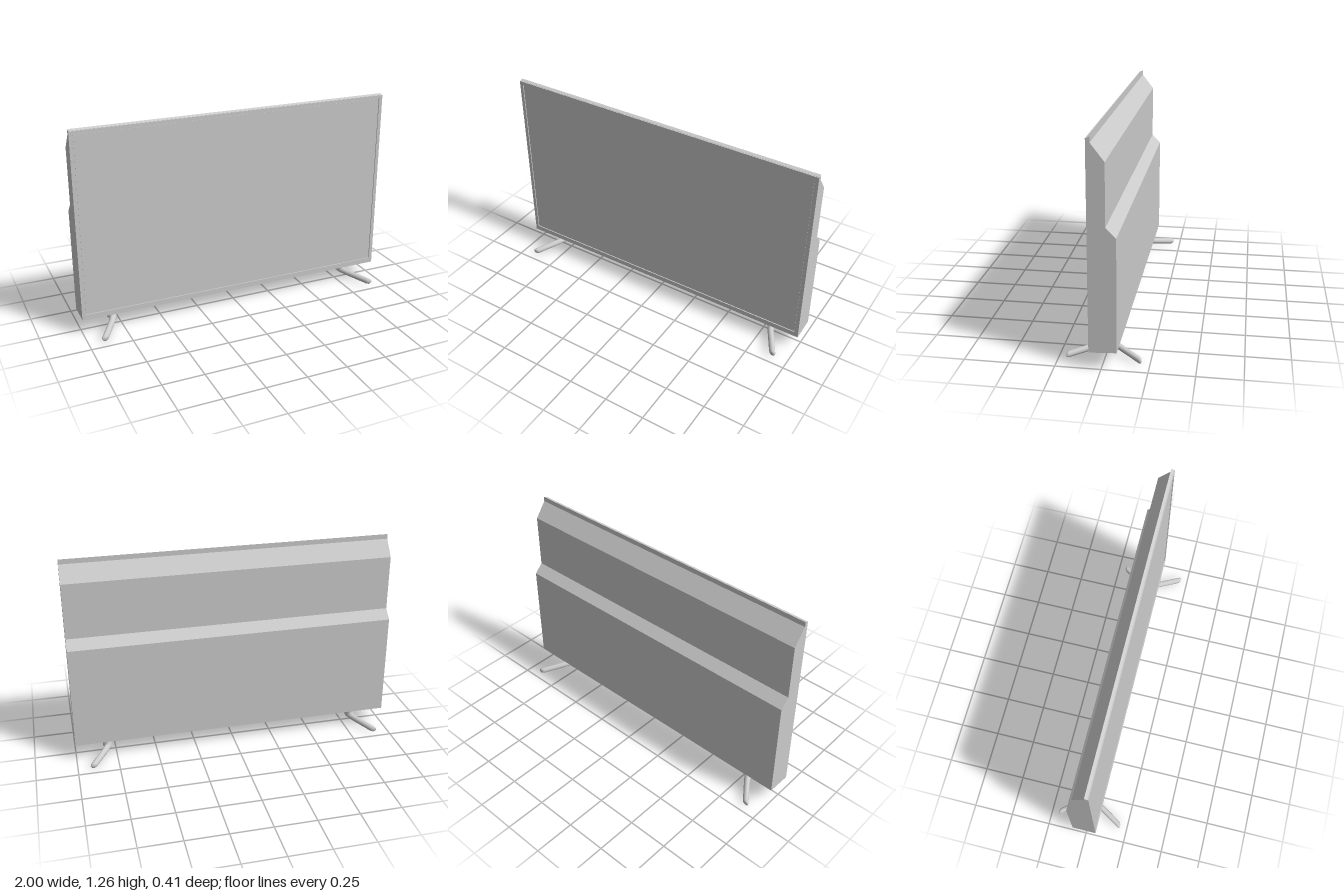
import * as THREE from 'three';
import { toCreasedNormals } from 'three/addons/utils/BufferGeometryUtils.js';

const material = new THREE.MeshStandardMaterial({ color: 0xcccccc });

function addMesh(parent, name, geometry) {
  const mesh = new THREE.Mesh(geometry, material);
  mesh.name = name;
  parent.add(mesh);
  return mesh;
}

// Elliptical sections in the xy plane, swept along z: [x, y, z, scale]
function loftAlongZ(sections, rx, ry, sides = 20) {
  const pos = [], index = [];
  const push = (x, y, z) => pos.push(x, y, z) / 3 - 1;
  for (const [x, y, z, s] of sections) {
    for (let i = 0; i < sides; i++) {
      const a = (i / sides) * Math.PI * 2;
      push(x + Math.cos(a) * rx * s, y + Math.sin(a) * ry * s, z);
    }
  }
  const last = sections.length - 1;
  for (let r = 0; r < last; r++) {
    for (let i = 0; i < sides; i++) {
      const j = (i + 1) % sides;
      const a = r * sides + i, b = r * sides + j, c = a + sides, d = b + sides;
      index.push(a, b, c, b, d, c);
    }
  }
  // end caps
  const start = push(...sections[0].slice(0, 3));
  const end = push(...sections[last].slice(0, 3));
  for (let i = 0; i < sides; i++) {
    const j = (i + 1) % sides;
    index.push(start, j, i, end, last * sides + i, last * sides + j);
  }
  const g = new THREE.BufferGeometry();
  g.setAttribute('position', new THREE.Float32BufferAttribute(pos, 3));
  g.setIndex(index);
  g.computeVertexNormals();
  return g;
}

function rectangle(Type, x0, y0, x1, y1) {
  return new Type([[x0, y0], [x1, y0], [x1, y1], [x0, y1]].map(p => new THREE.Vector2(...p)));
}

// V-shaped foot with a short neck, built on the +x side
function createStand() {
  const stand = new THREE.Group();
  const legs = [
    [0.909, 0.022, -0.203, 0.55], [0.906, 0.022, -0.199, 0.85], [0.900, 0.023, -0.19, 1],
    [0.822, 0.046, -0.08, 1], [0.804, 0.053, -0.05, 1.04], [0.798, 0.056, -0.03, 1.12],
    [0.798, 0.056, -0.005, 1.12], [0.803, 0.054, 0.02, 1.04], [0.823, 0.048, 0.06, 1],
    [0.899, 0.029, 0.19, 1], [0.904, 0.028, 0.199, 0.85], [0.907, 0.028, 0.203, 0.55],
  ];
  addMesh(stand, 'legs', loftAlongZ(legs, 0.021, 0.0185));

  // neck flares where it meets the legs
  const profile = [[0, 0.05], [1.25, 0.05], [1.2, 0.066], [1.02, 0.076], [0.96, 0.09], [0.96, 0.115], [0, 0.115]]
    .map(p => new THREE.Vector2(...p));
  const neck = new THREE.LatheGeometry(profile, 24);
  neck.scale(0.023, 1, 0.036);
  neck.translate(0.802, 0, -0.015);
  addMesh(stand, 'neck', toCreasedNormals(neck, 0.8));
  return stand;
}

export function createModel() {
  const model = new THREE.Group();
  model.name = 'television';
  const screenZ = 0.06, frontZ = 0.066;

  // cabinet: stepped side profile (z, y) extruded across the width
  const outline = [
    [screenZ, 0.1], [screenZ, 1.258], [0.043, 1.265], [0.043, 1.235], [-0.03, 1.14],
    [-0.03, 0.8], [-0.085, 0.745], [-0.085, 0.107],
  ].map(([z, y]) => new THREE.Vector2(-z, y));
  const cabinet = new THREE.ExtrudeGeometry(new THREE.Shape(outline), { depth: 2, bevelEnabled: false });
  cabinet.translate(0, 0, -1);
  cabinet.rotateY(Math.PI / 2);
  addMesh(model, 'cabinet', cabinet);

  // raised bezel around the recessed screen
  const frame = rectangle(THREE.Shape, -1, 0.1, 1, 1.257);
  frame.holes.push(rectangle(THREE.Path, -0.978, 0.132, 0.978, 1.237));
  const bezel = new THREE.ExtrudeGeometry(frame, { depth: frontZ - screenZ, bevelEnabled: false });
  bezel.translate(0, 0, screenZ);
  addMesh(model, 'bezel', bezel);

  // thin screen panel inside the bezel
  const screen = new THREE.BoxGeometry(1.95, 1.1, 0.004);
  screen.translate(0, 0.6845, screenZ);
  addMesh(model, 'screen', screen);

  // stands mirrored to both sides
  for (const side of [1, -1]) {
    const stand = createStand();
    stand.name = side > 0 ? 'leftStand' : 'rightStand';
    stand.scale.x = side;
    model.add(stand);
  }
  return model;
}
